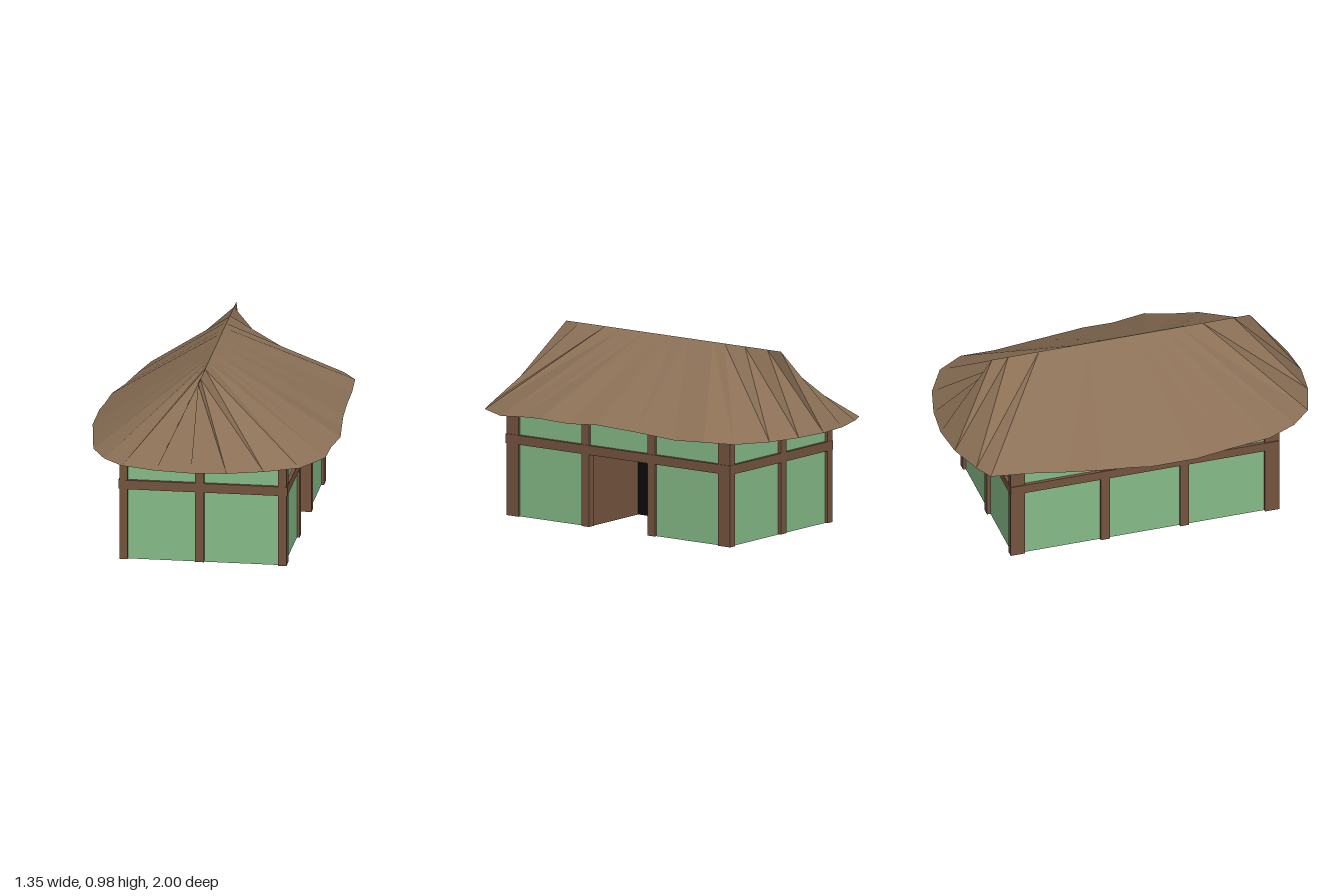
import * as THREE from 'three';

const mat = (color, side = THREE.FrontSide) => {
  const m = new THREE.MeshStandardMaterial({ side, flatShading: true });
  m.color.set(color);
  return m;
};

export function createModel() {
  const house = new THREE.Group();
  house.name = 'house';
  const timber = mat(0x75543f), plaster = mat(0x86bc88), dark = mat(0x0c0c0c);
  const thatch = mat(0x8b7056, THREE.DoubleSide);

  // box given by its min and max on each axis
  const box = (name, material, [x0, x1], [y0, y1], [z0, z1]) => {
    const mesh = new THREE.Mesh(new THREE.BoxGeometry(x1 - x0, y1 - y0, z1 - z0), material);
    mesh.position.set((x0 + x1) / 2, (y0 + y1) / 2, (z0 + z1) / 2);
    mesh.name = name;
    house.add(mesh);
  };

  const top = 0.61, doorTop = 0.39;
  const postX = [-0.435, -0.027, 0.415], postZ = [0.71, 0.225, -0.215, -0.7];
  const span = (c, w) => [c - w / 2, c + w / 2];

  // timber cross walls and the long central wall
  for (const z of postZ) box('crossWall', timber, [-0.42, 0.4], [0, top], span(z, 0.04));
  box('centralWall', timber, span(postX[1], 0.045), [0, top], [-0.7, 0.71]);

  // posts along both long sides
  postZ.forEach((z, i) => {
    const corner = i === 0 || i === 3;
    for (const x of [postX[0], postX[2]])
      box(corner ? 'cornerPost' : 'sidePost', timber, span(x, 0.044), [0, top], span(z, corner ? 0.08 : 0.05));
  });

  for (const s of [1, -1]) {
    // end walls: middle post, plaster panels and rail
    const z = s > 0 ? 0.73 : -0.72;
    box('endPost', timber, span(postX[1], 0.047), [0.003, top], span(z, 0.05));
    box('endPanel', plaster, [-0.415, 0.395], [0, top], span(z - s * 0.005, 0.02));
    box('endRail', timber, [-0.45, 0.44], [doorTop, 0.44], span(z, 0.045));
    // long walls: rail and plaster panels, with the doorway bay left open on +x
    const x = s > 0 ? postX[2] : postX[0];
    box('sideRail', timber, span(x + s * 0.004, 0.045), [doorTop, 0.44], [-0.74, 0.745]);
    for (let i = 0; i < 3; i++) {
      const doorway = s > 0 && i === 1;
      box('sidePanel', plaster, span(x, 0.015), [doorway ? doorTop : 0, top], [postZ[i + 1], postZ[i]]);
    }
  }

  // recessed doorway: dark back and ceiling
  box('doorwayBack', dark, [-0.01, 0.0], [0, doorTop], [-0.195, 0.205]);
  box('doorwayCeiling', timber, [-0.01, 0.41], [doorTop, doorTop + 0.015], [-0.2, 0.21]);

  // thatched roof: uneven eave (x, y, z) joined to a ridge that ends in two peaks
  const eave = [
    [-0.04, 0.575, -1], [-0.23, 0.575, -0.98], [-0.42, 0.575, -0.92], [-0.52, 0.575, -0.87],
    [-0.56, 0.58, -0.66], [-0.6, 0.575, -0.47], [-0.645, 0.58, -0.29], [-0.66, 0.575, -0.13],
    [-0.675, 0.57, -0.03], [-0.675, 0.57, 0.22], [-0.645, 0.575, 0.42], [-0.61, 0.575, 0.65],
    [-0.53, 0.575, 0.81], [-0.42, 0.575, 0.92], [-0.23, 0.575, 0.98], [-0.04, 0.575, 1],
    [0.15, 0.575, 0.98], [0.34, 0.575, 0.92], [0.52, 0.575, 0.83], [0.63, 0.577, 0.64],
    [0.64, 0.59, 0.5], [0.67, 0.602, 0.35], [0.65, 0.592, 0.17], [0.635, 0.604, 0],
    [0.62, 0.592, -0.25], [0.61, 0.576, -0.5], [0.6, 0.585, -0.69], [0.52, 0.577, -0.83],
    [0.34, 0.575, -0.93], [0.15, 0.575, -0.98],
  ];
  const ridge = eave.map(([, , z]) => {
    const a = Math.abs(z);
    return [-0.04, 0.98, Math.sign(z) * (0.38 * a + 0.335 * a ** 14)];
  });
  const tris = [];
  eave.forEach((e, i) => {
    const j = (i + 1) % eave.length;
    tris.push(...e, ...eave[j], ...ridge[i], ...eave[j], ...ridge[j], ...ridge[i]);
  });
  const roofGeo = new THREE.BufferGeometry();
  roofGeo.setAttribute('position', new THREE.Float32BufferAttribute(tris, 3));
  roofGeo.computeVertexNormals();
  const roof = new THREE.Mesh(roofGeo, thatch);
  roof.name = 'roof';
  house.add(roof);

  return house;
}
